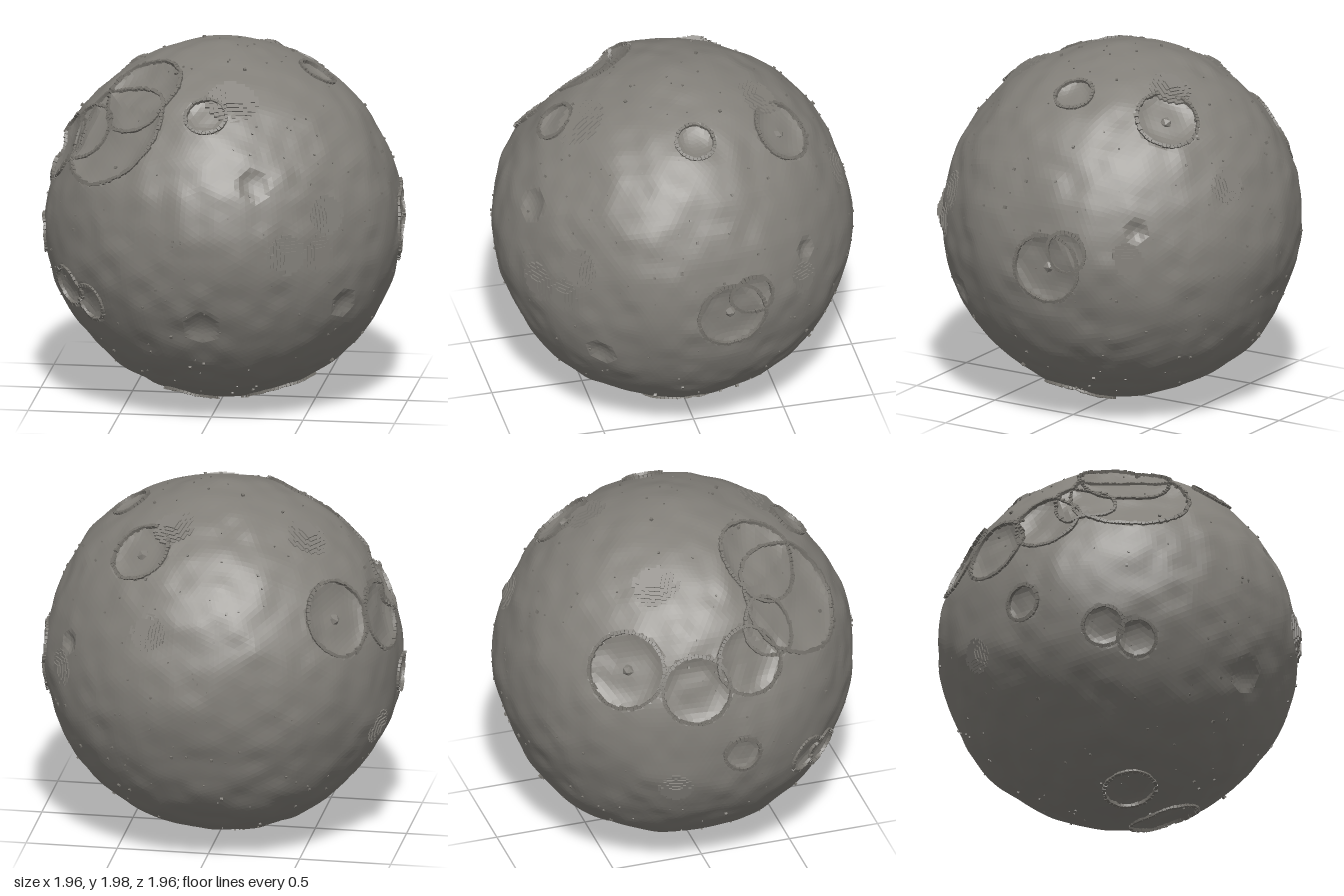
import * as THREE from 'three';
import { mergeGeometries } from 'three/addons/utils/BufferGeometryUtils.js';

const RADIUS = 0.97, CENTER_Y = 1.01;

// Craters: direction from the centre, rim radius, central lump flag
const CRATERS = [
  [-0.55, 0.61, 0.51, 0.33], [-0.41, 0.78, 0.37, 0.25], [-0.72, 0.55, 0.33, 0.17],
  [-0.84, 0.42, 0.17, 0.19], [-0.90, 0.32, -0.15, 0.19], [-0.72, 0.41, -0.50, 0.21, 1],
  [0.96, -0.03, -0.11, 0.19, 1], [0.93, 0.07, -0.22, 0.115], [0.37, 0.73, -0.52, 0.17, 1],
  [0.51, 0.83, -0.01, 0.105], [-0.01, 0.74, 0.66, 0.11], [-0.65, -0.34, 0.64, 0.105],
  [-0.78, -0.28, 0.51, 0.11], [-0.96, -0.09, 0.09, 0.1], [0.32, -0.91, 0.07, 0.19],
  [-0.15, -0.93, 0.2, 0.14],
].map(([x, y, z, r, lump]) => ({ dir: new THREE.Vector3(x, y, z).normalize(), r, lump }));

// Shallow pits without a rim
const PITS = [[0.73, -0.31, 0.57, 0.08], [0.75, 0.2, -0.56, 0.06], [0.28, 0.4, 0.84, 0.09], [0, -0.4, 0.9, 0.1]]
  .map(([x, y, z, r]) => ({ dir: new THREE.Vector3(x, y, z).normalize(), r }));

// Terraced mounds: direction and footprint radius
const MOUNDS = [
  [0.12, 0.8, 0.55, 0.135], [0.66, 0.21, 0.68, 0.1], [0.62, 0.02, 0.76, 0.105],
  [0.46, 0.02, 0.85, 0.105], [0.81, 0.04, -0.53, 0.095], [0.2, 0.85, -0.43, 0.11],
  [0.28, 0.39, -0.85, 0.095], [-0.5, 0.79, -0.26, 0.12], [-0.89, -0.28, -0.27, 0.09],
];

function seeded(seed) {
  return () => {
    seed = (seed * 16807) % 2147483647;
    return seed / 2147483647;
  };
}

// Smooth value noise in three dimensions, -1 to 1
function hash(x, y, z) {
  const s = Math.sin(x * 127.1 + y * 311.7 + z * 74.7) * 43758.5453;
  return s - Math.floor(s);
}
function noise(x, y, z) {
  const i = [x, y, z].map(Math.floor);
  const f = [x - i[0], y - i[1], z - i[2]].map((t) => t * t * (3 - 2 * t));
  let sum = 0;
  for (let c = 0; c < 8; c++) {
    const b = [c & 1, (c >> 1) & 1, c >> 2];
    const w = b.reduce((p, bit, k) => p * (bit ? f[k] : 1 - f[k]), 1);
    sum += w * hash(i[0] + b[0], i[1] + b[1], i[2] + b[2]);
  }
  return sum * 2 - 1;
}

// Distance from the centre to the ground in a given direction
function groundHeight(d) {
  let h = RADIUS + 0.015 * noise(d.x * 3 + 9, d.y * 3 + 9, d.z * 3 + 9)
    + 0.008 * noise(d.x * 9 + 40, d.y * 9 + 40, d.z * 9 + 40);
  let dip = 0;
  for (const { dir, r } of CRATERS) {
    const t = dir.angleTo(d) * RADIUS / r;
    if (t < 1) dip = Math.max(dip, Math.min(0.22 * r, 0.06) * (1 - t ** 4));
  }
  for (const { dir, r } of PITS) {
    const t = dir.angleTo(d) * RADIUS / r;
    if (t < 1) dip = Math.max(dip, 0.025 * (1 - t * t));
  }
  return h - dip;
}

// Tangent frame: x sideways, y towards the pole, z outwards
function frame(dir) {
  const z = dir.clone().normalize();
  const x = new THREE.Vector3(0, 1, 0).cross(z).normalize();
  return { x, y: z.clone().cross(x), z };
}

// Box standing on the ground frame at a given point
function orientedBox(point, f, w, h, depth) {
  const g = new THREE.BoxGeometry(w, h, depth);
  g.applyMatrix4(new THREE.Matrix4().makeBasis(f.x, f.y, f.z).setPosition(point));
  return g;
}

function buildGround() {
  const g = new THREE.IcosahedronGeometry(1, 36);
  const p = g.attributes.position, v = new THREE.Vector3();
  for (let i = 0; i < p.count; i++) {
    v.fromBufferAttribute(p, i).normalize();
    v.multiplyScalar(groundHeight(v));
    p.setXYZ(i, v.x, v.y, v.z);
  }
  g.computeVertexNormals();
  return g;
}

// Ring of small blocks along the edge of a crater
function buildRim({ dir, r }, rand) {
  const f = frame(dir), parts = [], a = r / RADIUS;
  const count = Math.round(2 * Math.PI * r / 0.021);
  for (let i = 0; i < count; i++) {
    const t = (i / count) * Math.PI * 2, spread = a * (0.985 + rand() * 0.03);
    const out = f.x.clone().multiplyScalar(Math.cos(t)).addScaledVector(f.y, Math.sin(t));
    const d = f.z.clone().multiplyScalar(Math.cos(spread)).addScaledVector(out, Math.sin(spread));
    const along = f.z.clone().cross(out), up = d.clone();
    const side = along.clone().cross(up).negate();
    const s = 0.013 + rand() * 0.009;
    const point = d.clone().multiplyScalar(groundHeight(d) + 0.004);
    parts.push(orientedBox(point, { x: along, y: up.clone().cross(along), z: up }, 0.019, s, s));
    if (side.lengthSq() < 0.5) parts.pop();
  }
  return mergeGeometries(parts);
}

// Stack of pixel-edged discs, each smaller than the one below
function buildMound([x, y, z, r]) {
  const f = frame(new THREE.Vector3(x, y, z)), parts = [];
  const cell = r / 6, base = groundHeight(f.z);
  for (let layer = 0; layer < 5; layer++) {
    const n = 6.2 - layer * 1.15;
    const top = base - 0.004 + layer * 0.0075;
    for (let j = -Math.floor(n); j <= Math.floor(n); j++) {
      const half = Math.floor(Math.sqrt(n * n - j * j)) + 0.5;
      const point = f.z.clone().multiplyScalar(top - 0.006).addScaledVector(f.y, j * cell);
      parts.push(orientedBox(point, f, half * 2 * cell, cell, 0.012));
    }
  }
  return mergeGeometries(parts);
}

// Tiny loose blocks spread over the whole surface
function buildBoulders(rand) {
  const parts = [];
  for (let i = 0; i < 260; i++) {
    const y = rand() * 2 - 1, t = rand() * Math.PI * 2, q = Math.sqrt(1 - y * y);
    const d = new THREE.Vector3(q * Math.cos(t), y, q * Math.sin(t));
    const s = 0.006 + rand() * rand() * 0.012;
    parts.push(orientedBox(d.clone().multiplyScalar(groundHeight(d) + s * 0.3), frame(d), s, s, s));
  }
  return mergeGeometries(parts);
}

export function createModel() {
  const group = new THREE.Group();
  group.name = 'crateredMoon';
  const body = new THREE.Group();
  body.name = 'moonBody';
  body.position.y = CENTER_Y;
  group.add(body);

  const groundGrey = new THREE.MeshStandardMaterial({ color: 0x827f79 });
  groundGrey.name = 'groundGrey';
  groundGrey.flatShading = true;
  const rockGrey = new THREE.MeshStandardMaterial({ color: 0x75726c });
  rockGrey.name = 'rockGrey';

  const rand = seeded(4711);
  const add = (name, geometry, material) => {
    const mesh = new THREE.Mesh(geometry, material);
    mesh.name = name;
    body.add(mesh);
    return mesh;
  };

  add('ground', buildGround(), groundGrey);
  CRATERS.forEach((crater, i) => {
    add(`craterRim${i + 1}`, buildRim(crater, rand), rockGrey);
    if (crater.lump) {
      const lump = add(`craterPeak${i + 1}`, new THREE.IcosahedronGeometry(0.035, 0), groundGrey);
      lump.position.copy(crater.dir).multiplyScalar(groundHeight(crater.dir) - 0.008);
    }
  });
  MOUNDS.forEach((m, i) => add(`terracedMound${i + 1}`, buildMound(m), groundGrey));
  add('boulders', buildBoulders(rand), rockGrey);
  return group;
}
